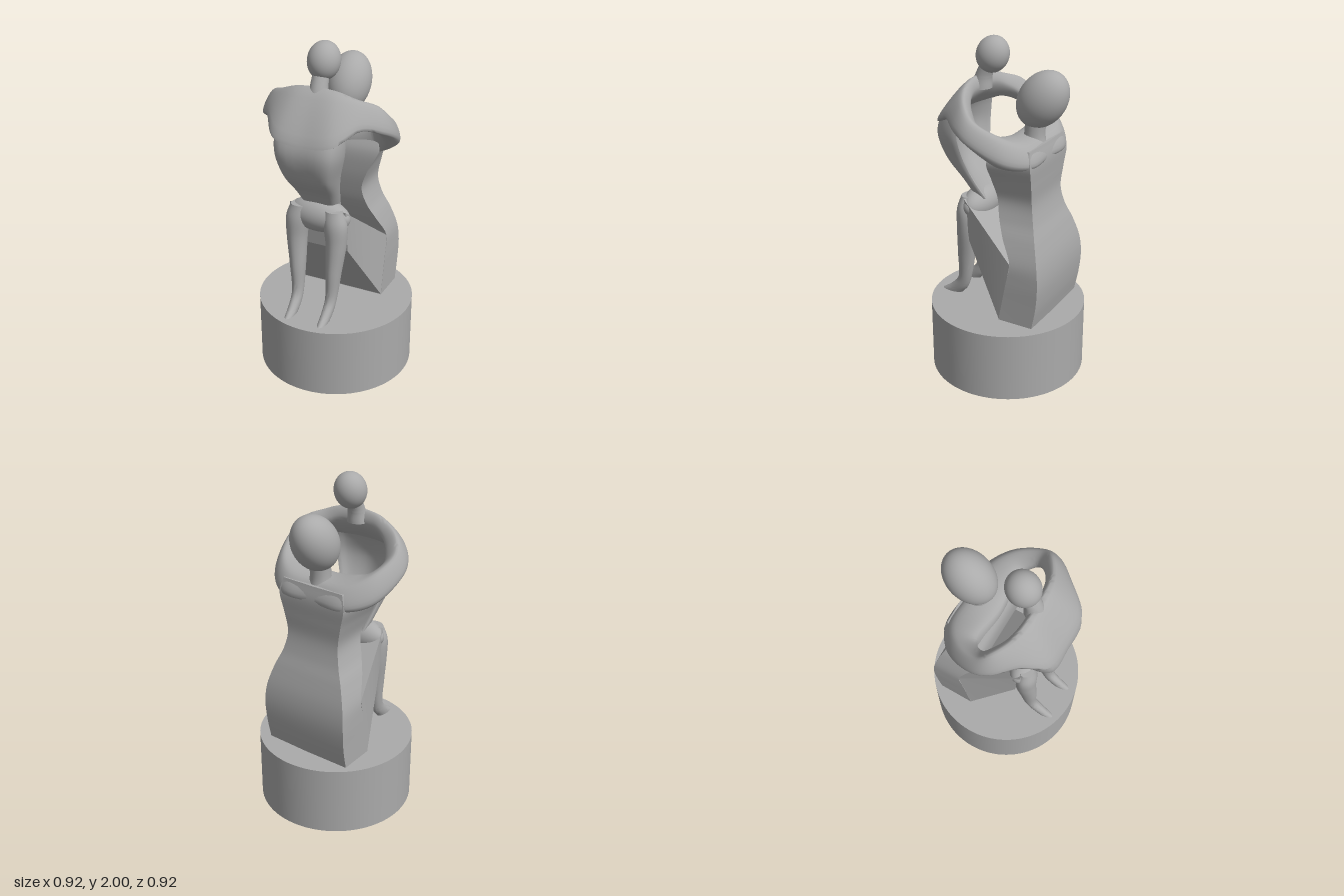
import * as THREE from 'three';
import { toCreasedNormals } from 'three/addons/utils/BufferGeometryUtils.js';

const V = (x, y, z) => new THREE.Vector3(x, y, z);

// Skin through cross-sections; round = points across (0 keeps the corners sharp)
function loft(sections, steps, round, loop = false, crease = 0.9) {
  const rings = sections.map((s) => {
    if (!round) return s;
    const c = new THREE.CatmullRomCurve3(s, true);
    return Array.from({ length: round }, (_, j) => c.getPoint(j / round));
  });
  const m = rings[0].length;
  const rows = loop ? steps : steps + 1;
  const columns = rings[0].map((_, j) => new THREE.CatmullRomCurve3(rings.map((r) => r[j]), loop));
  const pts = [];
  for (let i = 0; i < rows; i++) for (let j = 0; j < m; j++) pts.push(columns[j].getPoint(i / steps));
  let index = [];
  for (let i = 0; i < steps; i++) {
    for (let j = 0; j < m; j++) {
      const k = (j + 1) % m, n = (i + 1) % rows;
      const a = i * m + j, b = i * m + k, c = n * m + k, d = n * m + j;
      index.push(a, b, c, a, c, d);
    }
  }
  if (!loop) {
    for (const [row, flip] of [[0, true], [steps, false]]) {
      const mid = V(0, 0, 0);
      for (let j = 0; j < m; j++) mid.addScaledVector(pts[row * m + j], 1 / m);
      const c = pts.push(mid) - 1;
      for (let j = 0; j < m; j++) {
        const a = row * m + j, b = row * m + ((j + 1) % m);
        if (flip) index.push(c, b, a); else index.push(c, a, b);
      }
    }
  }
  // Turn the faces outward if the enclosed volume is negative
  let volume = 0;
  for (let i = 0; i < index.length; i += 3) {
    volume += pts[index[i]].dot(pts[index[i + 1]].clone().cross(pts[index[i + 2]]));
  }
  if (volume < 0) index.reverse();
  const g = new THREE.BufferGeometry().setFromPoints(pts);
  g.setIndex(index);
  return toCreasedNormals(g, crease);
}

const oval = (x, y, z, rx, rz) => Array.from({ length: 8 }, (_, i) => {
  const a = (i / 8) * Math.PI * 2;
  return V(x + rx * Math.cos(a), y, z + rz * Math.sin(a));
});

export function createModel() {
  const model = new THREE.Group();
  model.name = 'embraceSculpture';
  const stone = new THREE.MeshStandardMaterial({ color: 0xaaaaaa });
  stone.name = 'grey stone';
  const figures = new THREE.Group();
  figures.name = 'figures';
  figures.position.x = -0.018;
  model.add(figures);
  const add = (name, geometry, parent = figures) => {
    const mesh = new THREE.Mesh(geometry, stone);
    mesh.name = name;
    parent.add(mesh);
    return mesh;
  };

  // Round plinth
  add('plinth', new THREE.CylinderGeometry(0.46, 0.46, 0.42, 96), model).position.y = 0.21;

  // Rear figure's body: y, front z, back z, front half width, back half width
  const body = [
    [0.42, -0.085, -0.3, 0.278, 0.278], [0.55, -0.11, -0.325, 0.278, 0.28],
    [0.68, -0.135, -0.335, 0.278, 0.282], [0.79, -0.155, -0.325, 0.275, 0.272],
    [0.92, -0.09, -0.292, 0.235, 0.235], [1.02, -0.045, -0.26, 0.195, 0.195],
    [1.13, -0.02, -0.24, 0.17, 0.175], [1.25, -0.005, -0.245, 0.21, 0.195],
    [1.37, -0.008, -0.25, 0.27, 0.22], [1.45, -0.04, -0.235, 0.26, 0.2],
  ].map(([y, f, b, wf, wb]) => [V(wf, y, f), V(wb, y, b), V(0, y, b - 0.005), V(-wb, y, b), V(-wf, y, f), V(0, y, f)]);
  add('rearBody', loft(body, 54, 0));

  // Lap wedge joining the knees to the rear figure's hips
  const lap = [[0.175, 0.2, 1.075, 0.17, 0.82], [0.277, -0.157, 0.79, -0.087, 0.42]]
    .map(([w, zt, yt, zb, yb]) => [V(w, yt, zt), V(w, yb, zb), V(-w, yb, zb), V(-w, yt, zt)]);
  add('lap', loft(lap, 8, 0, false, 0.4));

  // Arms and shoulders: one closed band, each section is outer, top, inner, underside
  const half = [
    [0, 1.36, -0.25, 0, 1.47, -0.2, 0, 1.46, -0.03, 0, 1.34, -0.04],
    [0.2, 1.36, -0.25, 0.19, 1.48, -0.2, 0.19, 1.5, -0.05, 0.2, 1.35, -0.05],
    [0.335, 1.4, -0.15, 0.3, 1.54, -0.11, 0.24, 1.51, -0.03, 0.28, 1.38, -0.05],
    [0.393, 1.5, 0.03, 0.345, 1.62, 0.03, 0.277, 1.56, 0.03, 0.32, 1.46, 0.02],
    [0.37, 1.55, 0.13, 0.31, 1.69, 0.1, 0.255, 1.62, 0.08, 0.31, 1.54, 0.1],
    [0.28, 1.59, 0.24, 0.22, 1.73, 0.16, 0.195, 1.67, 0.13, 0.225, 1.59, 0.18],
    [0.17, 1.52, 0.37, 0.12, 1.765, 0.185, 0.12, 1.7, 0.155, 0.15, 1.57, 0.25],
    [0, 1.5, 0.385, 0, 1.775, 0.19, 0, 1.7, 0.16, 0, 1.55, 0.3],
  ].map((s) => [0, 3, 6, 9].map((i) => V(s[i], s[i + 1], s[i + 2])));
  const mirrored = half.slice(1, -1).reverse().map((s) => s.map((p) => V(-p.x, p.y, p.z)));
  add('embracingArms', loft([...half, ...mirrored], 112, 28, true, 1.2));

  // Front figure's hollow torso: y, half width, outer z, edge z, inner z
  const shell = [
    [1.63, 0.185, 0.3, 0.215, 0.24], [1.54, 0.195, 0.365, 0.23, 0.285],
    [1.44, 0.19, 0.39, 0.235, 0.31], [1.3, 0.155, 0.355, 0.215, 0.28],
    [1.17, 0.125, 0.255, 0.16, 0.19], [1.07, 0.1, 0.19, 0.1, 0.12],
  ].map(([y, w, zo, ze, zi]) => {
    const side = [[0.8, zo - 0.008], [1, (zo + ze) / 2], [0.98, ze], [0.7, (ze + zi) / 2]];
    return [V(0, y, zo), ...side.map(([k, z]) => V(k * w, y, z)), V(0, y, zi),
      ...side.reverse().map(([k, z]) => V(-k * w, y, z))];
  });
  add('frontTorso', loft(shell, 40, 40, false, 1.0));

  // Hips over the knees
  const hips = add('frontHips', new THREE.SphereGeometry(1, 40, 28));
  hips.scale.set(0.19, 0.1, 0.09);
  hips.position.set(0, 1.02, 0.175);

  // Legs tapering to pointed feet: x, y, z, half width, half depth
  for (const side of [1, -1]) {
    const leg = [
      [0.105, 1.08, 0.21, 0.055, 0.04], [0.118, 1.0, 0.212, 0.07, 0.06],
      [0.124, 0.88, 0.212, 0.06, 0.064], [0.115, 0.7, 0.227, 0.045, 0.056],
      [0.108, 0.53, 0.248, 0.033, 0.042], [0.106, 0.47, 0.283, 0.03, 0.055],
      [0.105, 0.42, 0.338, 0.026, 0.068],
    ].map(([x, y, z, rx, rz]) => oval(side * x, y, z, rx, rz));
    add(side > 0 ? 'leftLeg' : 'rightLeg', loft(leg, 40, 24));
  }

  // Heads and necks
  const head = (name, radii, y, z, tilt) => {
    const mesh = add(name, new THREE.SphereGeometry(1, 48, 32));
    mesh.scale.set(...radii);
    mesh.position.set(0, y, z);
    mesh.rotation.x = tilt;
  };
  head('rearHead', [0.125, 0.179, 0.134], 1.687, -0.206, -0.63);
  head('frontHead', [0.09, 0.106, 0.093], 1.896, 0.106, -0.4);
  const neck = (name, rows) => add(name, loft(rows.map(([y, z, r]) => oval(0, y, z, r, r)), 16, 28));
  neck('rearNeck', [[1.4, -0.16, 0.075], [1.48, -0.16, 0.06], [1.62, -0.17, 0.06]]);
  neck('frontNeck', [[1.7, 0.18, 0.062], [1.77, 0.165, 0.05], [1.86, 0.125, 0.046]]);

  return model;
}
